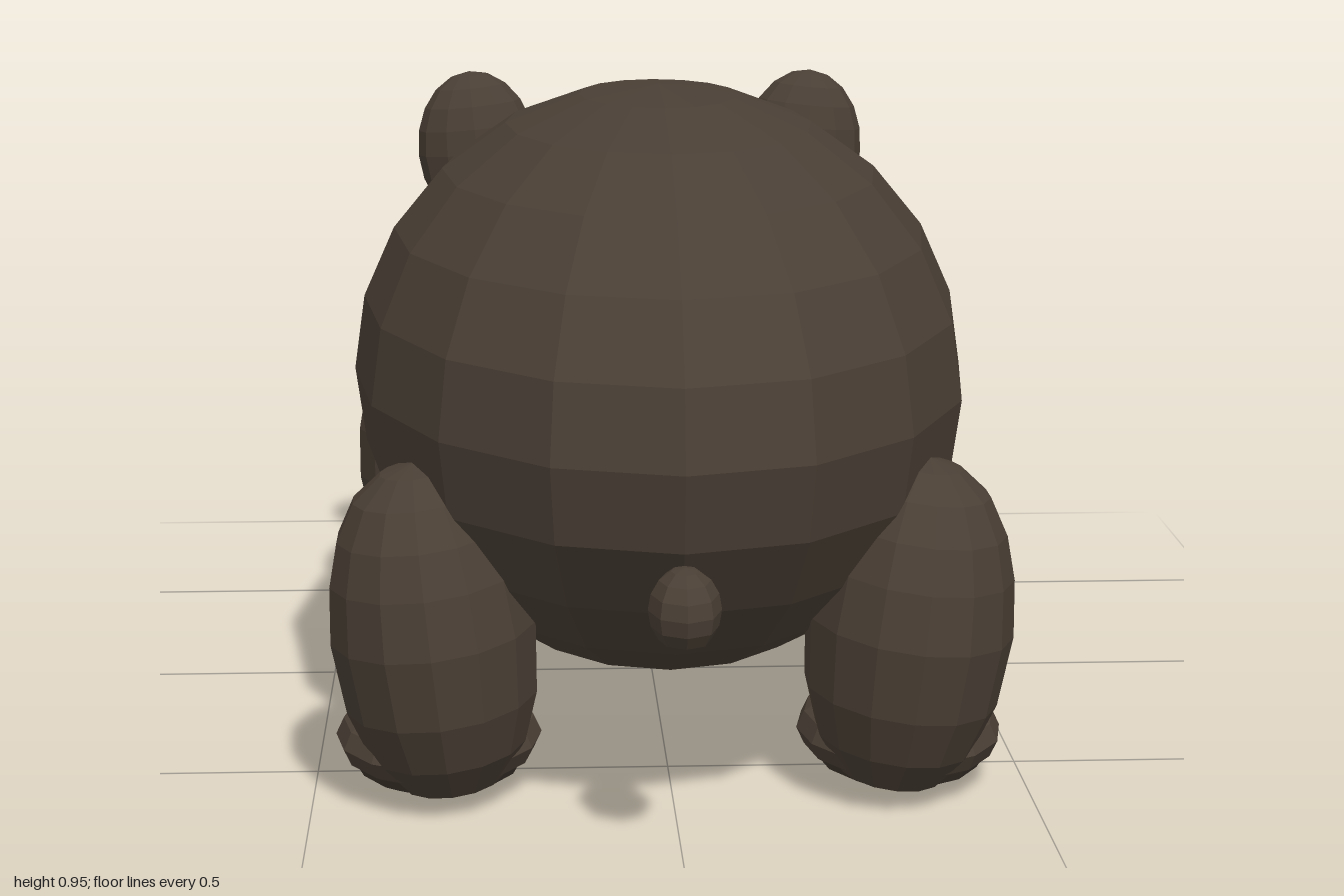
import * as THREE from 'three';

const mat = (color) => new THREE.MeshStandardMaterial({ color, flatShading: true });

export function createModel() {
  const group = new THREE.Group();
  group.name = 'animal';
  const fur = mat(0x4a3f35), paleFur = mat(0x5c4d3e), innerEarSkin = mat(0x46302e);
  const black = mat(0x161412), padSkin = mat(0x40362e);

  function ball(name, material, pos, radii, parent = group, w = 16, h = 12) {
    const mesh = new THREE.Mesh(new THREE.SphereGeometry(1, w, h), material);
    mesh.name = name;
    mesh.position.set(...pos);
    mesh.scale.set(...radii);
    parent.add(mesh);
    return mesh;
  }

  // Trunk, shoulders, head and tail; the head points to -z
  ball('body', fur, [0, 0.535, 0.21], [0.45, 0.42, 0.74]);
  ball('shoulders', fur, [0, 0.49, -0.34], [0.36, 0.35, 0.34]);
  ball('head', fur, [0, 0.47, -0.62], [0.33, 0.28, 0.32]);
  ball('tail', fur, [0, 0.355, 0.932], [0.048, 0.056, 0.068], group, 8, 8);

  // Nose, leaning back a little
  ball('nose', black, [0, 0.495, -0.93], [0.165, 0.1, 0.068], group, 14, 10).rotation.x = 0.18;

  // Thick leg profile: [share of the width, height]
  const legProfile = [[0, 0.03], [0.5, 0.03], [0.76, 0.08], [0.93, 0.15], [1, 0.25], [0.94, 0.33],
    [0.82, 0.39], [0.62, 0.44], [0.33, 0.472], [0, 0.483]].map(([r, y]) => new THREE.Vector2(r, y - 0.25));
  const legGeometry = new THREE.LatheGeometry(legProfile, 14);
  const clawGeometry = new THREE.ConeGeometry(0.011, 0.07, 6);

  function addLeg(name, side, z) {
    const leg = new THREE.Group();
    leg.name = name;
    leg.position.set(side * 0.33, 0, z);
    group.add(leg);

    const limb = new THREE.Mesh(legGeometry, fur);
    limb.name = 'limb';
    limb.position.y = 0.25;
    limb.scale.set(0.145, 1, 0.188);
    limb.rotation.z = -side * 0.11;
    leg.add(limb);

    ball('foot', fur, [-side * 0.004, 0.073, -0.075], [0.145, 0.062, 0.185], leg, 14, 8);
    ball('solePad', padSkin, [-side * 0.004, 0.048, -0.075], [0.125, 0.044, 0.165], leg, 14, 8);

    // Five claws fanned over the toe
    for (let i = -2; i <= 2; i++) {
      const claw = new THREE.Mesh(clawGeometry, black);
      claw.name = 'claw';
      claw.position.set(i * 0.04, 0.048, -0.25 + Math.abs(i) * 0.009);
      claw.rotation.set(-Math.PI / 2 - 0.45, 0, 0);
      leg.add(claw);
    }
  }

  for (const [label, s] of [['left', 1], ['right', -1]]) {
    addLeg(label + 'FrontLeg', s, -0.415);
    addLeg(label + 'RearLeg', s, 0.615);

    // Face details
    ball(label + 'Cheek', paleFur, [s * 0.17, 0.37, -0.825], [0.16, 0.122, 0.148], group, 14, 10);
    ball(label + 'Eye', black, [s * 0.293, 0.595, -0.72], [0.032, 0.032, 0.032], group, 10, 8);
    ball(label + 'Nostril', mat(0x080707), [s * 0.06, 0.485, -0.983], [0.022, 0.018, 0.014], group, 8, 6);

    // Ear with its inner patch on the -z face
    const ear = new THREE.Group();
    ear.name = label + 'Ear';
    ear.position.set(s * 0.27, 0.778, -0.425);
    ear.rotation.z = -s * 0.1;
    group.add(ear);
    ball('outerEar', fur, [0, 0, 0], [0.098, 0.13, 0.073], ear, 12, 10);
    ball('innerEar', innerEarSkin, [0, -0.005, -0.04], [0.065, 0.09, 0.042], ear, 12, 8);
  }
  return group;
}
